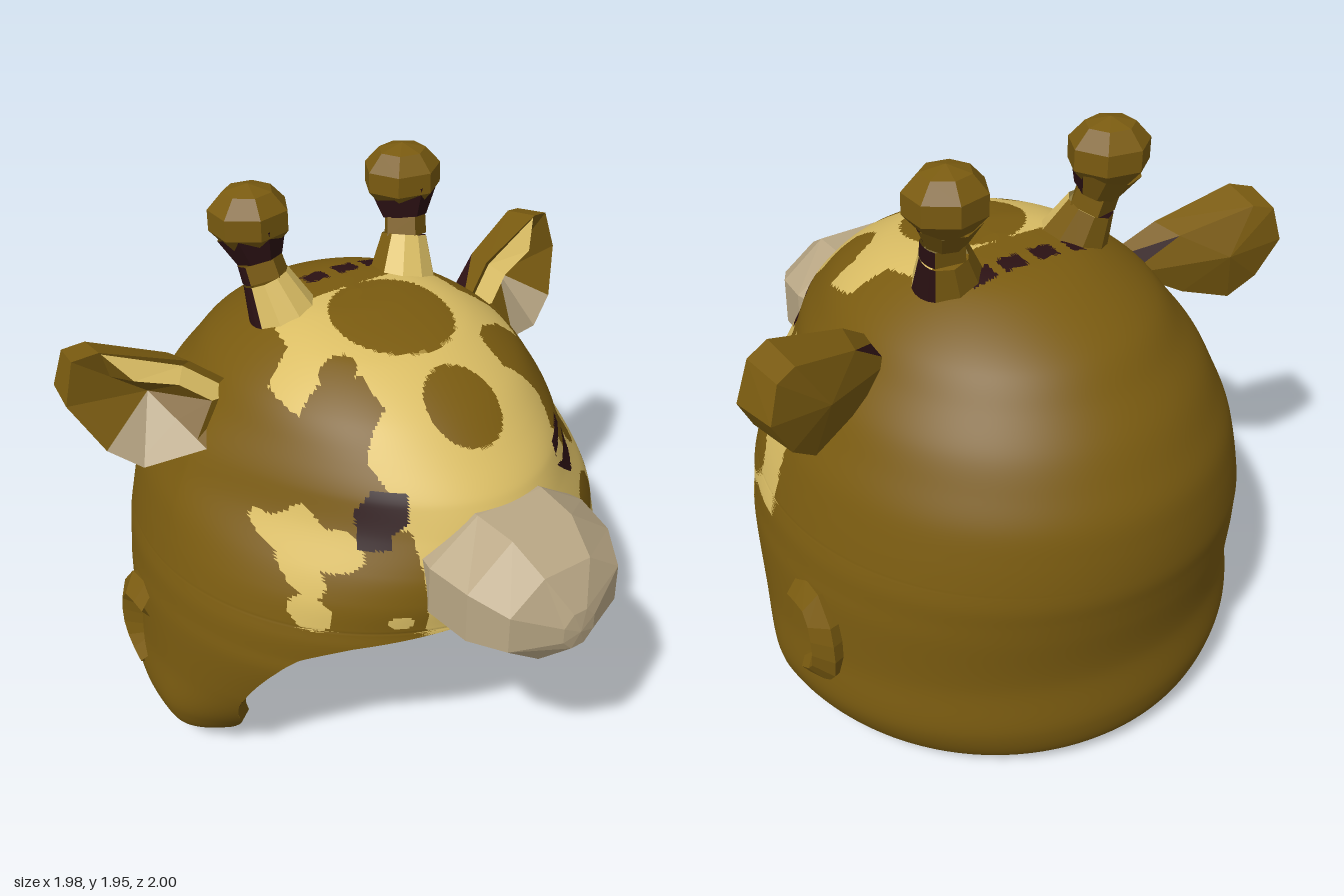
import * as THREE from 'three';

const mat = (name, color) => {
  const m = new THREE.MeshStandardMaterial({ color, side: THREE.DoubleSide });
  m.name = name;
  return m;
};
const brown = mat('brown', 0x7a5b10), yellow = mat('yellow', 0xdabd64);
const tan = mat('tan', 0xb9a785), dark = mat('darkBrown', 0x2b1113);

const V = (x, y, z) => new THREE.Vector3(x, y, z);

function mesh(name, geo, material) {
  const m = new THREE.Mesh(geo, material);
  m.name = name;
  return m;
}

// Faceted geometry from a list of triangles made of Vector3 corners
function facets(tris) {
  const g = new THREE.BufferGeometry().setFromPoints(tris.flat());
  g.computeVertexNormals();
  return g;
}

function flat(geo) {
  const g = geo.toNonIndexed();
  g.computeVertexNormals();
  return g;
}

// Hood rings: height, half width, back z, front z, middle z, z of the face opening
const rings = [
  [1.565, 0.001, -0.151, -0.149, -0.15, 1], [1.55, 0.22, -0.38, 0.02, -0.15, 1],
  [1.5, 0.35, -0.53, 0.24, -0.15, 1], [1.4, 0.49, -0.7, 0.42, -0.15, 1],
  [1.3, 0.57, -0.79, 0.54, -0.15, 1], [1.2, 0.645, -0.87, 0.64, -0.15, 1],
  [1.1, 0.695, -0.925, 0.69, -0.15, 1], [1.0, 0.74, -0.97, 0.72, -0.15, 0.95],
  [0.9, 0.77, -0.99, 0.72, -0.15, 0.85], [0.8, 0.795, -1, 0.7, -0.15, 0.7],
  [0.74, 0.81, -1, 0.7, -0.15, 0.52], [0.67, 0.82, -0.99, 0.69, -0.15, 0.4],
  [0.6, 0.83, -0.98, 0.68, -0.15, 0.34], [0.4, 0.84, -0.955, 0.54, -0.15, 0.2],
  [0.2, 0.85, -0.97, 0.27, -0.15, 0.1], [0.08, 0.79, -0.94, 0.1, -0.15, -0.02],
  [0.02, 0.64, -0.85, -0.05, -0.3, -0.17], [0.0, 0.48, -0.78, -0.25, -0.5, -0.35],
  [0.05, 0.01, -0.62, -0.6, -0.61, -0.6],
];
const curveA = new THREE.CatmullRomCurve3(rings.map(r => V(r[0], r[1], r[2])));
const curveB = new THREE.CatmullRomCurve3(rings.map(r => V(r[3], r[4], r[5])));

// Grid of hood points, each row an arc from one edge of the opening round the back to the other
function hoodGrid(rows, cols, scale) {
  const grid = [], c = V(0, 0.6, -0.2);
  for (let r = 0; r <= rows; r++) {
    const A = curveA.getPoint(r / rows), B = curveB.getPoint(r / rows);
    const [y, w, zb] = A.toArray(), [zf, zc, rim] = B.toArray();
    // The face narrows to the front at eye height
    const taper = 1 + 0.55 * Math.exp(-(((y - 1.12) / 0.18) ** 2));
    const start = Math.acos(THREE.MathUtils.clamp((rim - zc) / (zf - zc), 0, 1) ** (1 / taper));
    const row = [];
    for (let i = 0; i <= cols; i++) {
      // Columns are closer together on the face
      const t = i / cols - 0.6 * Math.sin(2 * Math.PI * i / cols) / (2 * Math.PI);
      const a = start + (2 * Math.PI - 2 * start) * t, k = Math.cos(a);
      const z = k > 0 ? zc + (zf - zc) * k ** taper : zc + (zc - zb) * k;
      row.push(V(w * Math.sin(a), y, z).sub(c).multiplyScalar(scale).add(c));
    }
    row.open = start > 0.001;
    grid.push(row);
  }
  return grid;
}

// Smooth surface over a grid, with one geometry group for each paint number
function gridGeometry(grid, paint) {
  const n = grid[0].length, lists = [[], [], []], points = grid.flat(), mid = V(0, 0, 0);
  const add = (...ids) => {
    mid.set(0, 0, 0);
    ids.forEach(i => mid.addScaledVector(points[i], 1 / 3));
    lists[paint(mid.x, mid.y, mid.z)].push(...ids);
  };
  for (let r = 0; r < grid.length - 1; r++) for (let c = 0; c < n - 1; c++) {
    const a = r * n + c, b = a + n;
    add(a, b, b + 1);
    add(a, b + 1, a + 1);
  }
  const g = new THREE.BufferGeometry().setFromPoints(points);
  g.setIndex(lists.flat());
  let at = 0;
  lists.forEach((l, i) => { g.addGroup(at, l.length, i); at += l.length; });
  g.computeVertexNormals();
  return g;
}

const inEllipse = (a, b, [ca, cb, ra, rb]) => ((a - ca) / ra) ** 2 + ((b - cb) / rb) ** 2 < 1;
function inPolygon(a, b, pts) {
  let inside = false;
  pts.forEach(([x1, y1], i) => {
    const [x2, y2] = pts[(i + 1) % pts.length];
    if ((y1 > b) !== (y2 > b) && a < x1 + (x2 - x1) * (b - y1) / (y2 - y1)) inside = !inside;
  });
  return inside;
}

// Coat pattern: 0 brown, 1 yellow, 2 dark
const brow = [[0.47, 1.12], [0.47, 1.23], [0.38, 1.3], [0.32, 1.42], [0.2, 1.48], [0.13, 1.45], [0.15, 1.38],
  [0, 1.42], [-0.05, 1.5], [-0.25, 1.53], [-0.25, 1.08], [-0.05, 1.13], [0.2, 1.1], [0.27, 1.16], [0.36, 1.1]];
const cheek = [[-0.1, 0.73], [0.12, 0.74], [0.2, 0.7], [0.21, 0.58], [0.14, 0.46], [0.08, 0.33], [0.2, 0.2], [-0.1, 0.1]];
const topSpots = [[0.01, 0.02, 0.2, 0.21], [0, 0.41, 0.125, 0.12], [-0.28, 0.14, 0.06, 0.055], [0.32, 0.25, 0.1, 0.1]];
const leftSpots = [[0.51, 0.92, 0.09, 0.08], [0.24, 0.84, 0.14, 0.105], [0.32, 1.08, 0.055, 0.065]];
const rightPatches = [[-0.52, 1.06, 0.1, 0.075], [-0.57, 0.97, 0.04, 0.07], [-0.58, 0.85, 0.045, 0.06], [-0.37, 0.84, 0.035, 0.025]];
const maneBlocks = [[-0.2, -0.15], [-0.1, -0.02], [0.02, 0.1], [0.13, 0.22]];
const leftEye = [[0.27, 1.155], [0.33, 1.13], [0.45, 1.14], [0.44, 1.08], [0.38, 1.06], [0.34, 1.09]];
const leftLid = [[0.28, 1.175], [0.28, 1.215], [0.4, 1.22], [0.4, 1.19]];
const rightEye = [[-0.43, 1.06], [-0.41, 1.17], [-0.36, 1.23], [-0.28, 1.23], [-0.3, 1.15], [-0.35, 1.11], [-0.36, 1.07]];
function coat(x, y, z) {
  if (z > 0.2 && [leftEye, leftLid, rightEye].some(s => inPolygon(x, y, s))) return 2;
  if (y > 1.4 && z > -0.35 && z < -0.285 && maneBlocks.some(([a, b]) => x > a && x < b)) return 2;
  if (z < (y > 1.45 ? -0.19 : -0.05)) return 0;
  if (y > 1.2 && topSpots.some(s => inEllipse(x, z, s))) return 0;
  if (inPolygon(z, y, brow)) return 0;
  if (x > 0) return inPolygon(z, y, cheek) || y < 0.32 || leftSpots.some(s => inEllipse(z, y, s)) ? 0 : 1;
  if (y > 1.13) return 1;
  return x > -0.3 && y > 0.78 || rightPatches.some(s => inEllipse(x, y, s)) ? 1 : 0;
}
// Dark patches inside the cheeks
const liningPaint = (x, y, z) => Math.abs(x) > 0.4 && z > 0.02 && y > 0.25 && y < 0.7 ? 2 : 0;

function buildHood() {
  const g = new THREE.Group();
  g.name = 'hood';
  g.add(mesh('outerShell', gridGeometry(hoodGrid(200, 300, 1), coat), [brown, yellow, dark]));
  g.add(mesh('lining', gridGeometry(hoodGrid(72, 80, 0.94), liningPaint), [brown, yellow, dark]));
  // Lip joining shell and lining round the face opening
  const o = hoodGrid(72, 2, 1), i = hoodGrid(72, 2, 0.94), tris = [];
  for (let r = 0; r < 72; r++) if (o[r + 1].open) for (const c of [0, 2]) {
    tris.push([o[r][c], o[r + 1][c], i[r + 1][c]], [o[r][c], i[r + 1][c], i[r][c]]);
  }
  g.add(mesh('openingLip', facets(tris), brown));
  return g;
}

// Blunt muzzle from eight-sided sections: z, half width, low y, high y
function buildMuzzle() {
  const sections = [[0.5, 0.27, 0.79, 1.16], [0.65, 0.305, 0.765, 1.175], [0.8, 0.28, 0.74, 1.165],
    [0.92, 0.215, 0.78, 1.09], [0.99, 0.06, 0.84, 0.97]];
  const loops = sections.map(([z, w, lo, hi]) => Array.from({ length: 8 }, (_, k) => {
    const a = (k + 0.5) * Math.PI / 4;
    return V(1.08 * w * Math.cos(a), (lo + hi) / 2 + 0.54 * (hi - lo) * Math.sin(a), z);
  }));
  const tris = [];
  for (let s = 0; s < 4; s++) for (let k = 0; k < 8; k++) {
    const a = loops[s], b = loops[s + 1], n = (k + 1) % 8;
    tris.push([a[k], a[n], b[n]], [a[k], b[n], b[k]]);
  }
  for (let k = 0; k < 8; k++) tris.push([loops[4][k], loops[4][(k + 1) % 8], V(0, 0.9, 1)]);
  return mesh('muzzle', facets(tris), tan);
}

function buildHorn() {
  const g = new THREE.Group();
  g.name = 'horn';
  const base = V(0.23, 1.48, -0.23), mid = V(0.275, 1.64, -0.275), neck = V(0.285, 1.7, -0.29), top = V(0.295, 1.79, -0.315);
  const piece = (name, a, b, ra, rb, from, sweep, material) => {
    const geo = new THREE.CylinderGeometry(rb, ra, a.distanceTo(b), 4, 1, true, from, sweep);
    const m = mesh(name, flat(geo), material);
    m.position.copy(a).lerp(b, 0.5);
    m.quaternion.setFromUnitVectors(V(0, 1, 0), b.clone().sub(a).normalize());
    g.add(m);
  };
  piece('hornFront', base, mid, 0.125, 0.078, -1.2, 2.4, yellow);
  piece('hornSide', base, mid, 0.125, 0.078, 1.2, 1, dark);
  piece('hornBack', base, mid, 0.125, 0.078, 2.2, 2 * Math.PI - 3.4, brown);
  piece('hornShaftSide', mid, neck, 0.078, 0.075, 1.2, 1, dark);
  piece('hornShaft', mid, neck, 0.078, 0.075, 2.2, 2 * Math.PI - 1, brown);
  piece('hornNeckFront', neck, top, 0.075, 0.115, -1.8, 3.6, dark);
  piece('hornNeckBack', neck, top, 0.075, 0.115, 1.8, 2 * Math.PI - 3.6, brown);
  const knob = mesh('hornKnob', flat(new THREE.SphereGeometry(1, 7, 5).scale(0.14, 0.112, 0.13)), brown);
  knob.position.set(0.297, 1.833, -0.32);
  g.add(knob);
  return g;
}

function buildEar() {
  const g = new THREE.Group();
  g.name = 'ear';
  const rim = [V(0.42, 1.32, -0.14), V(0.6, 1.46, -0.22), V(0.87, 1.55, -0.28), V(0.95, 1.53, -0.31),
    V(0.99, 1.39, -0.3), V(0.91, 1.24, -0.22), V(0.81, 1.16, -0.18), V(0.63, 1.21, -0.09)];
  const heart = V(0.76, 1.37, -0.43), hollow = V(0.72, 1.36, -0.29);
  // The back is a blunt lobe
  const back = rim.map(p => V(0.76 + (p.x - 0.76) * 0.88, 1.37 + (p.y - 1.37) * 0.86, -0.27 - 0.32 * (p.x - 0.42)));
  // The upper fold carries the stripe and stands forward of the hollow
  const outer = rim.map((p, i) => p.clone().lerp(hollow, i === 2 ? 0.04 : 0.16));
  const inner = rim.map((p, i) => p.clone().lerp(hollow, 0.5).add(V(0, 0, i < 3 ? 0.07 : 0)));
  const parts = { earBack: [], earRoot: [], innerEar: [], earStripe: [], innerEarLower: [] };
  rim.forEach((p, i) => {
    const j = (i + 1) % rim.length, q = rim[j];
    parts.earBack.push([p, back[j], q], [back[i], heart, back[j]]);
    parts[i === 0 ? 'earRoot' : 'earBack'].push([p, back[i], back[j]]);
    const main = i === 5 || i === 6 ? 'innerEarLower' : 'innerEar';
    parts[main].push([p, q, outer[j]], [p, outer[j], outer[i]], [inner[i], inner[j], hollow]);
    parts[i < 2 ? 'earStripe' : main].push([outer[i], outer[j], inner[j]], [outer[i], inner[j], inner[i]]);
  });
  const colours = { earRoot: dark, earStripe: yellow, innerEarLower: tan };
  for (const name in parts) g.add(mesh(name, facets(parts[name]), colours[name] ?? brown));
  return g;
}

// Curled flap on the side of the hood
function buildFlap() {
  const path = new THREE.CatmullRomCurve3([V(0.79, 0.56, -0.23), V(0.795, 0.565, -0.35), V(0.795, 0.43, -0.385),
    V(0.79, 0.34, -0.36), V(0.79, 0.29, -0.29)]);
  return mesh('sideFlap', flat(new THREE.TubeGeometry(path, 8, 0.07, 5)), brown);
}

export function createModel() {
  const model = new THREE.Group();
  model.name = 'animalHood';
  model.add(buildHood(), buildMuzzle());
  for (const [side, s] of [['left', 1], ['right', -1]]) {
    const half = new THREE.Group();
    half.name = side + 'Side';
    half.add(buildHorn(), buildEar(), buildFlap());
    half.scale.x = s;
    model.add(half);
  }
  return model;
}
